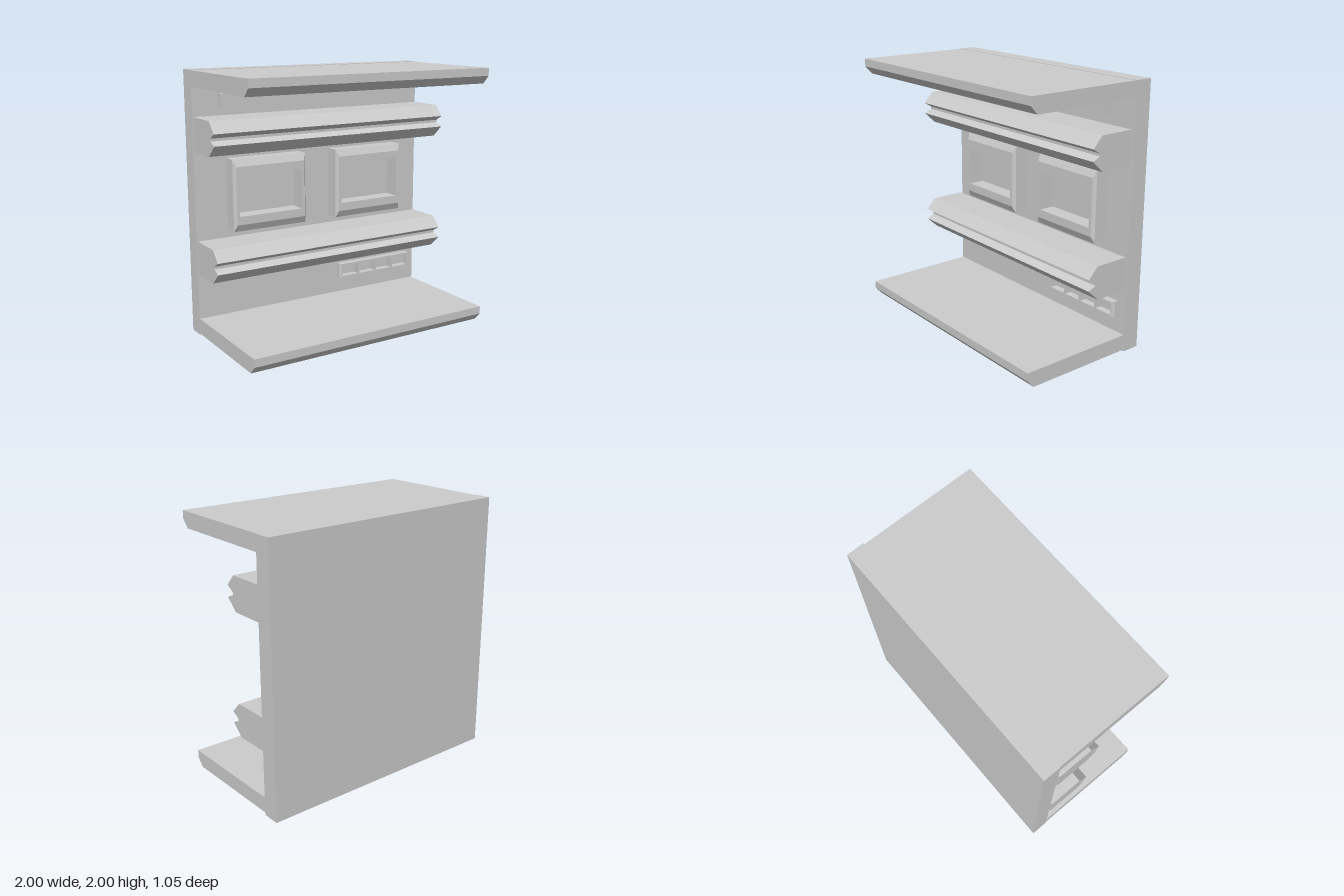
import * as THREE from 'three';

const material = new THREE.MeshStandardMaterial({ color: 0xcccccc, flatShading: true });
const WALL_FRONT = -0.39;

function add(group, name, geometry) {
  const mesh = new THREE.Mesh(geometry, material);
  mesh.name = name;
  group.add(mesh);
  return mesh;
}

function box(x0, x1, y0, y1, z0, z1) {
  return new THREE.BoxGeometry(x1 - x0, y1 - y0, z1 - z0)
    .translate((x0 + x1) / 2, (y0 + y1) / 2, (z0 + z1) / 2);
}

// Sweeps a [z, y] profile along x
function sweep(profile, x0, x1) {
  const shape = new THREE.Shape(profile.map(([z, y]) => new THREE.Vector2(z, y)));
  return new THREE.ExtrudeGeometry(shape, { depth: x1 - x0, bevelEnabled: false })
    .rotateY(-Math.PI / 2).translate(x1, 0, 0);
}

function rectangle(path, [x0, x1, y0, y1]) {
  path.moveTo(x0, y0);
  path.lineTo(x1, y0);
  path.lineTo(x1, y1);
  path.lineTo(x0, y1);
  path.closePath();
  return path;
}

// Rectangular frame with openings; its outer front edge is chamfered by insetX and insetY
function chamferedFrame(outer, openings, depth, chamfer, insetX, insetY) {
  const shape = rectangle(new THREE.Shape(), outer);
  for (const o of openings) shape.holes.push(rectangle(new THREE.Path(), o));
  const geometry = new THREE.ExtrudeGeometry(shape, { depth, steps: 2, bevelEnabled: false });
  const [x0, x1, y0, y1] = outer;
  const p = geometry.attributes.position;
  const near = (a, b) => Math.abs(a - b) < 1e-4;
  for (let i = 0; i < p.count; i++) {
    const x = p.getX(i), y = p.getY(i), z = p.getZ(i);
    if (near(z, depth / 2)) p.setZ(i, depth - chamfer);
    if (!near(z, depth)) continue;
    if (near(x, x0)) p.setX(i, x + insetX);
    if (near(x, x1)) p.setX(i, x - insetX);
    if (near(y, y0)) p.setY(i, y + insetY);
    if (near(y, y1)) p.setY(i, y - insetY);
  }
  geometry.computeVertexNormals();
  return geometry.translate(0, 0, WALL_FRONT);
}

export function createModel() {
  const model = new THREE.Group();
  model.name = 'wallSection';

  // Back wall
  add(model, 'backWall', box(-1, 1, 0, 2, -0.525, WALL_FRONT));

  // Floor and ceiling, each with a chamfered lower front edge
  for (const [name, y] of [['floor', 0.008], ['ceiling', 1.877]]) {
    add(model, name, sweep([
      [WALL_FRONT, y], [0.47, y], [0.525, y + 0.06], [0.525, y + 0.12], [WALL_FRONT, y + 0.12],
    ], -0.997, 0.99));
  }

  // Notched horizontal rails
  for (const [name, y] of [['lowerRail', 0.487], ['upperRail', 1.412]]) {
    add(model, name, sweep([
      [-0.372, y], [-0.11, y], [-0.018, y + 0.085], [-0.08, y + 0.113],
      [-0.08, y + 0.133], [-0.018, y + 0.17], [-0.095, y + 0.253], [-0.372, y + 0.253],
    ], -1, 0.99));
  }

  // Screen frames
  for (const [name, x] of [['rightScreenFrame', -0.743], ['leftScreenFrame', 0.15]]) {
    add(model, name, chamferedFrame(
      [x, x + 0.615, 0.795, 1.342],
      [[x + 0.042, x + 0.573, 0.912, 1.226]],
      0.13, 0.025, 0.018, 0.053));
  }

  // Light strip under the ceiling
  add(model, 'lightStrip', box(-0.8, 0.785, 1.728, 1.826, WALL_FRONT, -0.32));

  // Small panel with a row of four openings
  const slots = [0, 1, 2, 3].map(i => {
    const x = 0.25 + i * 0.1665;
    return [x, x + 0.15, 0.272, 0.358];
  });
  add(model, 'slotPanel', chamferedFrame([0.23, 0.92, 0.255, 0.375], slots, 0.055, 0.025, 0.014, 0));

  return model;
}
